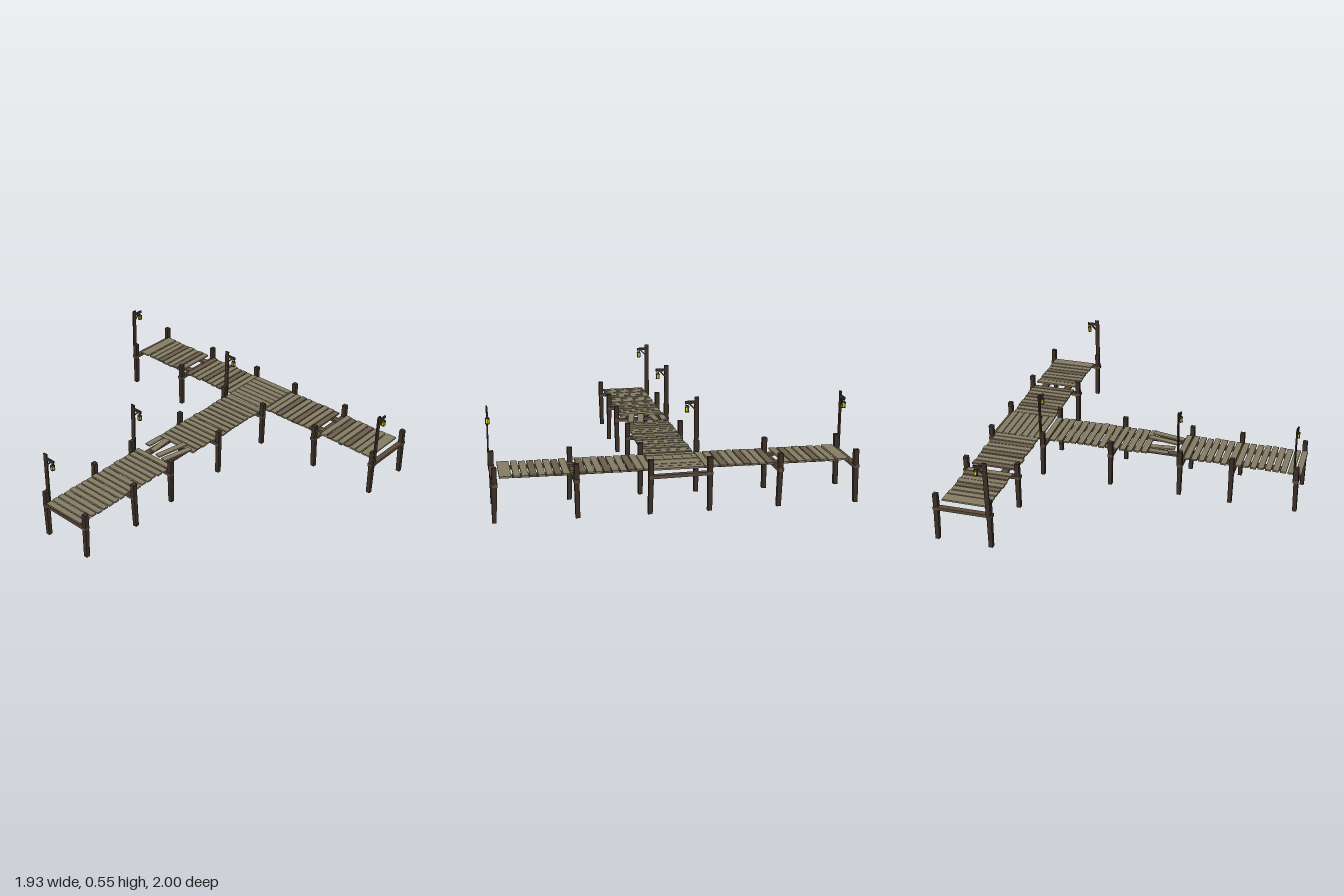
import * as THREE from 'three';

const mat = (c) => new THREE.MeshStandardMaterial({ color: c, flatShading: true });

export function createModel() {
  const root = new THREE.Group();
  const M = {
    post: mat(0x3a2e25), beam: mat(0x5a4a3b), light: mat(0x857c64),
    dark: mat(0x6c5e4a), iron: mat(0x1c1c1c), glow: mat(0xe6e01c),
  };
  let seed = 7;
  const jit = (a) => {
    seed = (seed * 16807) % 2147483647;
    return (seed / 2147483647 - 0.5) * 2 * a;
  };
  const add = (name, geo, m, x, y, z, parent = root) => {
    const mesh = new THREE.Mesh(geo, m);
    mesh.name = name;
    mesh.position.set(x, y, z);
    parent.add(mesh);
    return mesh;
  };
  const box = (name, w, h, d, m, x, y, z, parent) =>
    add(name, new THREE.BoxGeometry(w, h, d), m, x, y, z, parent);

  // Crooked pile: straight above the beam, leaning below it
  const post = (x, z) => {
    const g = new THREE.BoxGeometry(0.027, 0.295, 0.027, 1, 4, 1);
    const p = g.attributes.position;
    const lx = 0.004 + jit(0.006), lz = jit(0.008);
    for (let i = 0; i < p.count; i++) {
      const t = Math.max(0, 0.4 - (p.getY(i) + 0.1475) / 0.295 + 0.35) / 0.75;
      const s = 1 - 0.12 * t;
      p.setX(i, p.getX(i) * s + lx * t);
      p.setZ(i, p.getZ(i) * s + lz * t);
    }
    g.computeVertexNormals();
    add('post', g, M.post, x, 0.1475, z);
  };

  // Posts and cross beams of the long walkway
  for (const x of [-0.945, -0.565, -0.255, 0.175, 0.605, 0.937]) {
    post(x, -0.166);
    post(x, 0.152);
    box('crossBeam', 0.032, 0.018, 0.345, M.beam, x, 0.204, -0.007).rotation.x = jit(0.02);
  }
  // Posts and cross beams of the head
  for (const z of [-0.976, -0.553, 0.546, 0.971]) {
    post(0.62, z);
    post(0.937, z);
    box('crossBeam', 0.355, 0.018, 0.032, M.beam, 0.778, 0.204, z).rotation.z = jit(0.01);
  }

  // Stringers under the planks
  for (const z of [-0.08, 0.07]) box('stringer', 1.4, 0.012, 0.042, M.beam, -0.165, 0.222, z);
  for (const x of [0.702, 0.855]) box('stringer', 0.042, 0.012, 1.75, M.beam, x, 0.222, 0);

  // Walkway planks, with a gap where some have broken away
  const planks = new THREE.Group();
  planks.name = 'planks';
  root.add(planks);
  const tone = (i) => (i % 3 === 2 ? M.dark : M.light);
  for (let i = 0; i < 36; i++) {
    const x = -0.951 + i * 0.0443;
    if (x > -0.2 && x < -0.06) continue;
    const p = box('walkwayPlank', 0.035, 0.01, 0.275 + jit(0.006), M.light,
      x, 0.234 + jit(0.002), -0.002 + jit(0.003), planks);
    p.rotation.y = jit(0.01);
  }
  // Loose planks: x, z, length, turn
  for (const [x, z, len, turn] of [[-0.12, -0.06, 0.15, 0.1], [-0.11, -0.115, 0.12, -0.03],
    [-0.11, 0.025, 0.21, -0.18], [-0.125, 0.08, 0.2, -0.2]]) {
    box('loosePlank', len, 0.009, 0.036, M.light, x, 0.244, z, planks).rotation.y = turn;
  }
  // Junction planks
  for (let i = 0; i < 7; i++) {
    box('junctionPlank', 0.037, 0.01, 0.28, M.light, 0.653 + i * 0.0415, 0.234 + jit(0.002), -0.002, planks);
  }
  // Head planks on both sides, open above the middle beam
  for (const s of [-1, 1]) {
    box('endPlank', 0.28, 0.01, 0.064, M.light, 0.778, 0.235, s * 0.912, planks);
    for (let i = 0; i < 17; i++) {
      const z = 0.163 + i * 0.0431;
      if (Math.abs(z - 0.55) < 0.021) continue;
      const p = box('headPlank', 0.276 + jit(0.006), 0.01, 0.036, tone(i),
        0.778 + jit(0.003), 0.234 + jit(0.002), s * z, planks);
      p.rotation.y = jit(0.008);
    }
  }

  // Lamp: flat upright, arm along local +x, brace and hanging lantern
  const lamp = (x, z, turn) => {
    const g = new THREE.Group();
    g.name = 'lampPost';
    g.position.set(x, 0, z);
    g.rotation.y = turn;
    root.add(g);
    box('upright', 0.026, 0.35, 0.008, M.post, 0, 0.37, 0, g);
    box('arm', 0.072, 0.016, 0.009, M.post, 0.03, 0.516, 0, g);
    box('brace', 0.05, 0.008, 0.007, M.post, 0.026, 0.493, 0, g).rotation.z = 0.8;
    const lx = 0.054;
    add('handle', new THREE.TorusGeometry(0.007, 0.0015, 4, 10), M.iron, lx, 0.503, 0, g);
    add('lanternCap', new THREE.CylinderGeometry(0.006, 0.014, 0.009, 8), M.iron, lx, 0.4945, 0, g);
    add('lanternGlass', new THREE.CylinderGeometry(0.012, 0.011, 0.025, 8), M.glow, lx, 0.4775, 0, g);
    add('lanternBase', new THREE.CylinderGeometry(0.013, 0.012, 0.005, 8), M.iron, lx, 0.463, 0, g);
    for (let i = 0; i < 4; i++) {
      const a = (i + 0.5) * Math.PI / 2;
      box('lanternBar', 0.002, 0.028, 0.002, M.iron,
        lx + Math.cos(a) * 0.0122, 0.478, Math.sin(a) * 0.0122, g);
    }
  };
  for (const x of [-0.93, -0.24, 0.618]) lamp(x, -0.162, -Math.PI / 2);
  lamp(0.622, -0.99, 0);
  lamp(0.622, 0.985, 0);

  return root;
}
